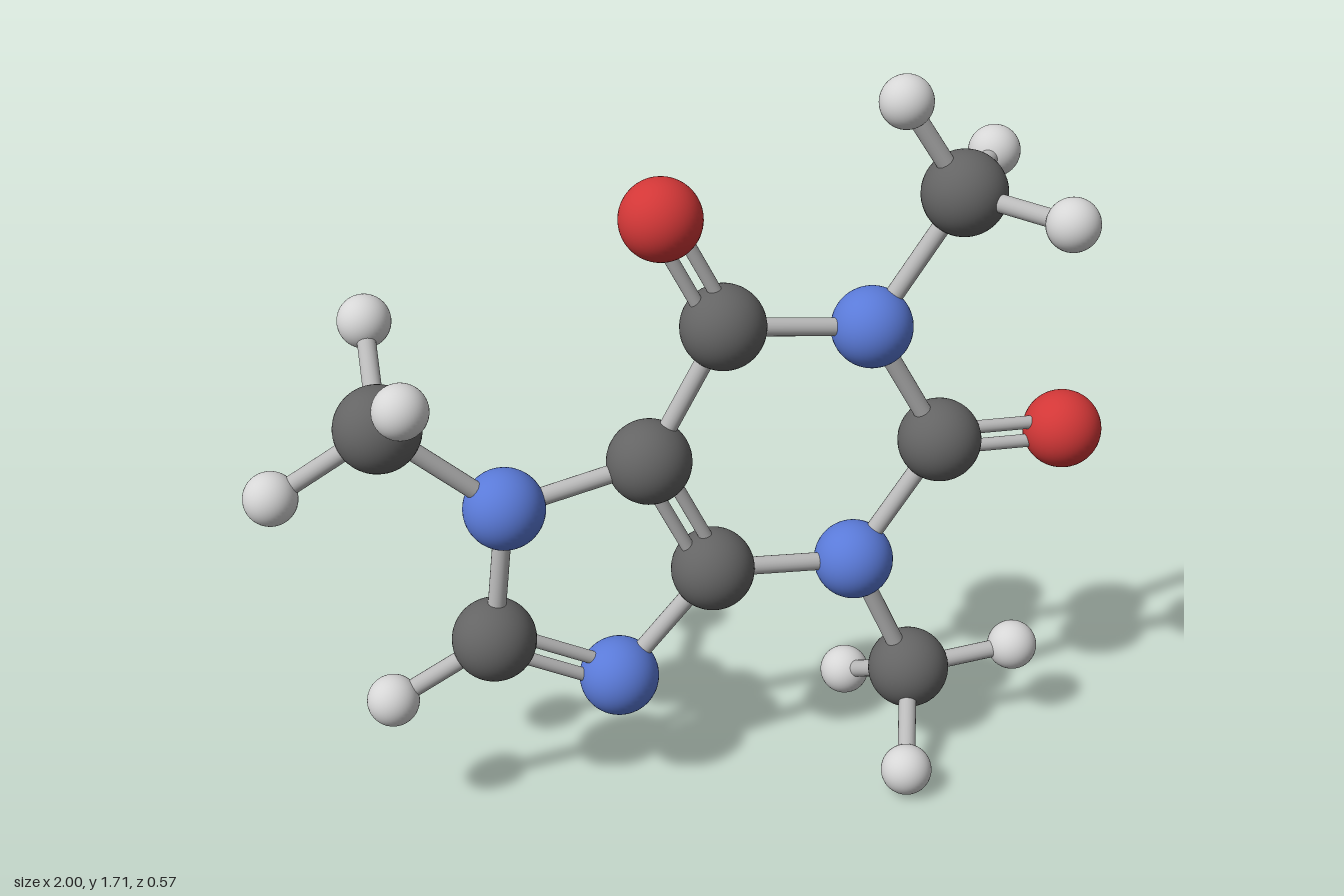
import * as THREE from 'three';

const material = (name, color) => {
  const m = new THREE.MeshStandardMaterial({ color });
  m.name = name;
  return m;
};

export function createModel() {
  const group = new THREE.Group();
  group.name = 'molecule';

  // Ball sizes and colours per element
  const ball = (radius, mat) => ({ geometry: new THREE.SphereGeometry(radius, 40, 28), mat });
  const elements = {
    carbon: ball(0.097, material('dark grey', 0x646464)),
    nitrogen: ball(0.093, material('blue', 0x5a7ad8)),
    oxygen: ball(0.092, material('red', 0xd23737)),
    hydrogen: ball(0.06, material('light grey', 0xd6d6d6)),
  };
  const bondMat = material('bond grey', 0xbababa);

  // Atoms: element, x, y, z
  const H = 0.223;
  const atoms = {
    c2: ['carbon', 0.597, 0.821, 0],
    c4: ['carbon', 0.051, 0.564, 0],
    c5: ['carbon', -0.099, 0.869, 0],
    c6: ['carbon', 0.072, 1.18, 0],
    c8: ['carbon', -0.468, 0.463, 0],
    n1: ['nitrogen', 0.42, 1.134, 0],
    n3: ['nitrogen', 0.396, 0.532, 0],
    n7: ['nitrogen', -0.433, 0.8, 0],
    n9: ['nitrogen', -0.176, 0.31, 0],
    o2: ['oxygen', 0.905, 0.805, 0],
    o6: ['oxygen', -0.069, 1.452, 0],
    h8: ['hydrogen', -0.708, 0.34, 0],
    // Upper methyl
    m1: ['carbon', 0.625, 1.433, 0],
    m1a: ['hydrogen', 0.479, 1.66, 0],
    m1b: ['hydrogen', 0.786, 1.43, H],
    m1c: ['hydrogen', 0.786, 1.43, -H],
    // Lower methyl
    m3: ['carbon', 0.548, 0.2, 0],
    m3a: ['hydrogen', 0.818, 0.216, 0],
    m3b: ['hydrogen', 0.466, 0.066, H],
    m3c: ['hydrogen', 0.466, 0.066, -H],
    // Side methyl
    m7: ['carbon', -0.702, 1.04, 0],
    m7a: ['hydrogen', -0.942, 0.906, 0],
    m7b: ['hydrogen', -0.684, 1.192, H],
    m7c: ['hydrogen', -0.684, 1.192, -H],
  };

  const position = {};
  for (const [key, [element, x, y, z]] of Object.entries(atoms)) {
    const { geometry, mat } = elements[element];
    const mesh = new THREE.Mesh(geometry, mat);
    mesh.name = `${element}Ball`;
    mesh.position.set(x, y, z);
    group.add(mesh);
    position[key] = mesh.position;
  }

  // Rod between two atoms, shifted sideways in the ring plane
  const up = new THREE.Vector3(0, 1, 0);
  const addRod = (a, b, radius, offset, name) => {
    const dir = position[b].clone().sub(position[a]);
    const length = dir.length();
    dir.normalize();
    const rod = new THREE.Mesh(new THREE.CylinderGeometry(radius, radius, length, 20), bondMat);
    rod.name = name;
    rod.position.copy(position[a]).add(position[b]).multiplyScalar(0.5);
    rod.position.add(new THREE.Vector3(-dir.y, dir.x, 0).multiplyScalar(offset));
    rod.quaternion.setFromUnitVectors(up, dir);
    group.add(rod);
  };

  // Single bonds
  const singles = [
    ['n1', 'c2'], ['c2', 'n3'], ['n3', 'c4'], ['c5', 'c6'], ['c6', 'n1'],
    ['c5', 'n7'], ['n7', 'c8'], ['n9', 'c4'], ['c8', 'h8'],
    ['n1', 'm1'], ['n3', 'm3'], ['n7', 'm7'],
  ];
  for (const m of ['m1', 'm3', 'm7']) {
    for (const s of ['a', 'b', 'c']) singles.push([m, m + s]);
  }
  for (const [a, b] of singles) addRod(a, b, 0.021, 0, 'singleBond');

  // Double bonds
  for (const [a, b] of [['c2', 'o2'], ['c6', 'o6'], ['c4', 'c5'], ['c8', 'n9']]) {
    for (const side of [-1, 1]) addRod(a, b, 0.0155, side * 0.024, 'doubleBond');
  }

  return group;
}
